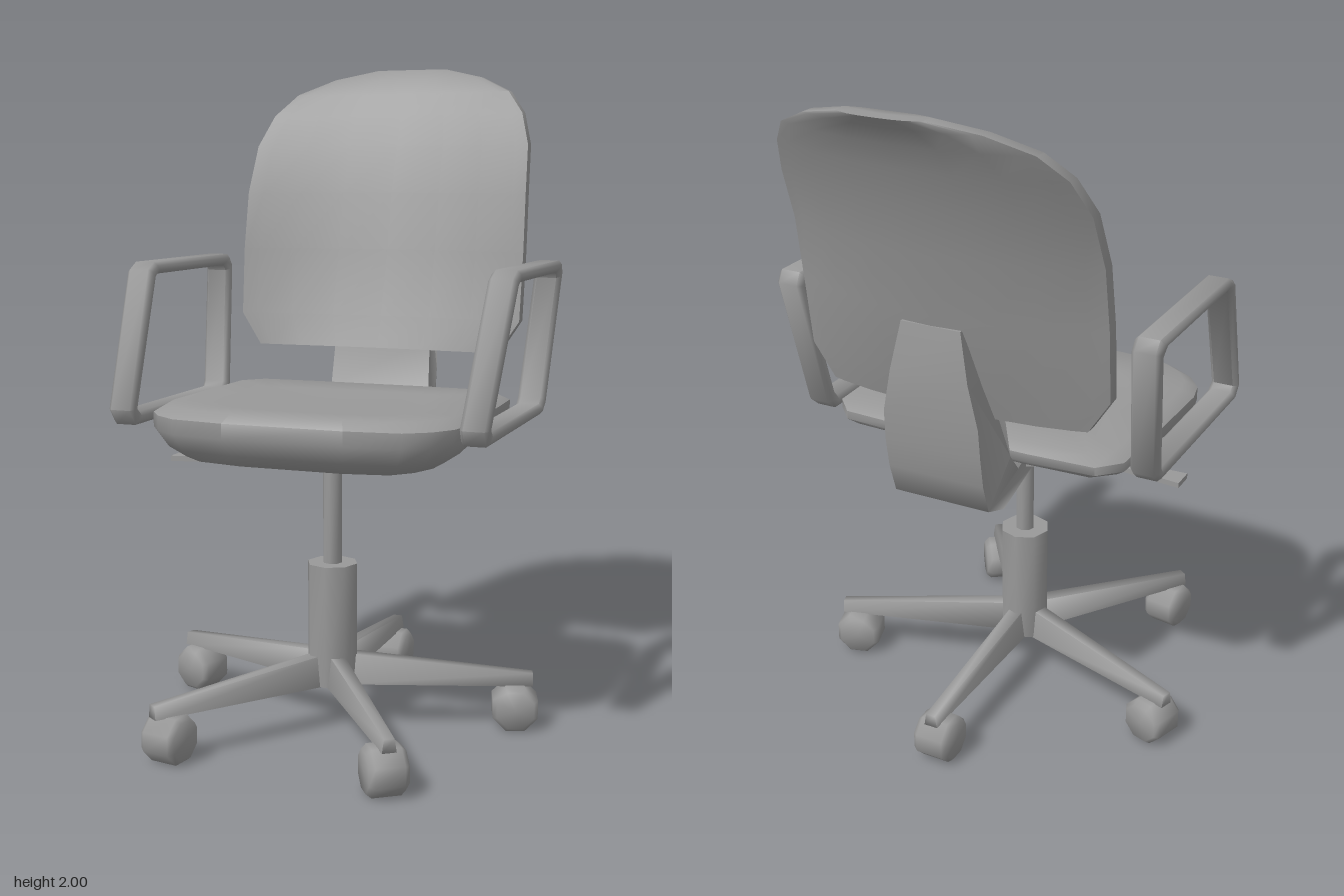
import * as THREE from 'three';
import { toCreasedNormals } from 'three/addons/utils/BufferGeometryUtils.js';

const rad = THREE.MathUtils.degToRad;
const { lerp, smoothstep } = THREE.MathUtils;
const TURN = rad(-49); // the seat is swivelled to face -x, +z
const material = new THREE.MeshStandardMaterial({ color: 0x999999 });

function addMesh(parent, name, geometry, crease = 0.75) {
  const mesh = new THREE.Mesh(toCreasedNormals(geometry, crease), material);
  mesh.name = name;
  parent.add(mesh);
  return mesh;
}

// Move every vertex of a geometry by a rule
function warp(geometry, rule) {
  const p = geometry.attributes.position;
  const v = new THREE.Vector3();
  for (let i = 0; i < p.count; i++) {
    rule(v.fromBufferAttribute(p, i));
    p.setXYZ(i, v.x, v.y, v.z);
  }
  return geometry;
}

// Closed skin over rings that run anticlockwise seen from above, bottom ring first
function loft(rings) {
  const n = rings[0].length;
  const mid = (r) => [0, 1, 2].map((k) => r.reduce((s, p) => s + p[k], 0) / n);
  const verts = [...rings.flat(), mid(rings[0]), mid(rings[rings.length - 1])];
  const index = [];
  const top = (rings.length - 1) * n;
  for (let j = 0; j < n; j++) {
    const k = (j + 1) % n;
    for (let i = 0; i < rings.length - 1; i++) {
      const a = i * n + j, b = i * n + k;
      index.push(a, b, b + n, a, b + n, a + n);
    }
    index.push(verts.length - 2, k, j, verts.length - 1, top + j, top + k);
  }
  const g = new THREE.BufferGeometry();
  g.setAttribute('position', new THREE.Float32BufferAttribute(verts.flat(), 3));
  g.setIndex(index);
  return g;
}

// Side profile of [z, y] points, extruded across x; a hole runs the opposite way round
function sideExtrude(points, width, bevel = 0, hole) {
  const vec = (list) => list.map(([z, y]) => new THREE.Vector2(z, y));
  const shape = new THREE.Shape(vec(points));
  if (hole) shape.holes.push(new THREE.Path(vec(hole)));
  const depth = width - 2 * bevel;
  const g = new THREE.ExtrudeGeometry(shape, {
    depth, bevelEnabled: bevel > 0, bevelThickness: bevel, bevelSize: bevel, bevelOffset: -bevel, bevelSegments: 1,
  });
  return g.translate(0, 0, -depth / 2).rotateY(-Math.PI / 2);
}

function makeSeat() {
  const half = [[0.18, 0.39], [0.34, 0.37], [0.41, 0.325], [0.455, 0.265], [0.472, 0.19],
    [0.468, -0.06], [0.46, -0.31], [0.4, -0.375], [0.2, -0.385]];
  const outline = [...half, ...half.map(([x, z]) => [-x, z]).reverse()];
  // scale, height at the front, height at the rear
  const levels = [[0.5, 0.838, 0.875], [0.84, 0.845, 0.915], [0.94, 0.88, 0.935],
    [1, 0.93, 0.955], [1, 0.975, 0.98], [0.92, 1, 1], [0.6, 0.995, 0.995]];
  return loft(levels.map(([s, front, rear]) => outline.map(([x, z]) =>
    [x * s, lerp(rear, front, (z + 0.385) / 0.78), z * s])));
}

function makeBackrest() {
  // height, half width, setback, hollow in the middle
  const rows = [[1.11, 0.4, 0.405, 0.03], [1.21, 0.465, 0.41, 0.06], [1.42, 0.468, 0.435, 0.095],
    [1.6, 0.465, 0.465, 0.105], [1.75, 0.455, 0.525, 0.095], [1.85, 0.42, 0.585, 0.075],
    [1.92, 0.36, 0.645, 0.05], [1.97, 0.25, 0.705, 0.025], [2, 0.12, 0.755, 0.006]];
  const us = [-1, -0.9, -0.65, -0.35, 0, 0.35, 0.65, 0.9, 1];
  return loft(rows.map(([y, w, back, hollow]) => {
    const side = (sign) => us.map((u) => {
      const thick = 0.02 + 0.016 * (1 - u ** 4);
      return [u * w, y, -(back + hollow * (1 - u * u)) + sign * thick];
    });
    return [...side(1), ...side(-1).reverse()];
  }));
}

// Tapered beam along +x, used for the legs
function makeLeg() {
  const g = new THREE.BoxGeometry(0.585, 1, 1).translate(0.3125, 0.5, 0);
  return warp(g, (v) => {
    const t = (v.x - 0.02) / 0.585;
    const upper = v.y > 0.5;
    v.z *= lerp(0.065, 0.042, t) * (upper ? 0.7 : 1);
    v.y = upper ? lerp(0.23, 0.172, t) : 0.133;
  });
}

// Short eight-sided wheel, axle along z
function makeCaster() {
  const profile = [[0, -0.057], [0.06, -0.057], [0.073, -0.042], [0.073, 0.042], [0.06, 0.057], [0, 0.057]];
  const g = new THREE.LatheGeometry(profile.map(([r, y]) => new THREE.Vector2(r, y)), 8);
  return g.rotateX(Math.PI / 2).rotateZ(Math.PI / 8);
}

export function createModel() {
  const model = new THREE.Group();
  model.name = 'officeChair';
  const chair = new THREE.Group();
  chair.name = 'swivelChair';
  chair.position.set(-0.055, 0, 0.03);
  model.add(chair);

  // Five-legged base with casters
  const base = new THREE.Group();
  base.name = 'base';
  chair.add(base);
  for (let i = 0; i < 5; i++) {
    const spoke = new THREE.Group();
    spoke.name = 'spoke';
    spoke.rotation.y = -rad(31.5 + 72 * i);
    base.add(spoke);
    addMesh(spoke, 'leg', makeLeg(), 1.65);
    const caster = addMesh(spoke, 'caster', makeCaster(), 1);
    caster.position.set(0.552, 0.068, 0);
    caster.rotation.y = i === 2 ? rad(27) : 0;
  }
  addMesh(base, 'columnSleeve', new THREE.CylinderGeometry(0.077, 0.077, 0.37, 8).translate(0, 0.32, 0), 1);
  addMesh(base, 'gasColumn', new THREE.CylinderGeometry(0.029, 0.029, 0.4, 8).translate(0, 0.68, 0), 1);

  // Everything that swivels
  const upper = new THREE.Group();
  upper.name = 'upperChair';
  upper.rotation.y = TURN;
  chair.add(upper);
  addMesh(upper, 'seat', makeSeat(), 0.9);
  addMesh(upper, 'backrest', makeBackrest(), 1);

  // Spine from the column up into the backrest, fading out as it rises
  const spine = sideExtrude([[0.06, 0.84], [-0.2, 0.838], [-0.46, 0.835], [-0.52, 0.85], [-0.55, 0.94],
    [-0.565, 1.03], [-0.572, 1.12], [-0.577, 1.25], [-0.56, 1.39], [-0.51, 1.39], [-0.45, 1.14],
    [-0.42, 0.98], [-0.37, 0.92], [-0.2, 0.91], [0.06, 0.91]], 2);
  addMesh(upper, 'spine', warp(spine, (v) => {
    const narrowFront = smoothstep(-v.z, -0.06, 0.4);
    const narrowTop = smoothstep(v.y, 1.08, 1.42);
    const rounded = v.z < -0.5 ? 0.9 : 1;
    v.x *= (0.06 + 0.105 * narrowFront) * (1 - 0.4 * narrowTop) * rounded;
  }), 1.2);

  // Loop armrests leaning slightly outward, with brackets under the seat
  const outer = [[0.334, 0.985], [0.305, 0.94], [-0.3, 0.94], [-0.335, 0.97], [-0.42, 1.365],
    [-0.397, 1.4], [0.115, 1.4], [0.155, 1.38]];
  const inner = [[0.122, 1.352], [0.1, 1.365], [-0.362, 1.365], [-0.378, 1.348], [-0.298, 0.992],
    [-0.283, 0.975], [0.275, 0.975], [0.292, 0.99]];
  for (const side of [1, -1]) {
    const loop = sideExtrude(outer, 0.082, 0.011, inner);
    addMesh(upper, side > 0 ? 'leftArmrest' : 'rightArmrest', warp(loop, (v) => {
      v.x += side * (0.524 + 0.03 * (v.y - 0.94) / 0.46);
    }), 1.1);
    const bracket = new THREE.BoxGeometry(0.42, 0.02, 1);
    addMesh(upper, side > 0 ? 'leftArmBracket' : 'rightArmBracket', warp(bracket, (v) => {
      const t = 0.5 + side * v.x / 0.42; // 0 under the seat, 1 at the armrest
      v.x += side * 0.325;
      v.y += lerp(0.87, 0.945, t);
      v.z = v.z * lerp(0.26, 0.14, t) - 0.12;
    }));
  }

  // Height lever on the right
  const lever = new THREE.Group();
  lever.name = 'heightLever';
  upper.add(lever);
  const rod = new THREE.LineCurve3(new THREE.Vector3(-0.06, 0.86, 0), new THREE.Vector3(-0.32, 0.8, 0));
  addMesh(lever, 'leverRod', new THREE.TubeGeometry(rod, 1, 0.014, 6), 1);
  const paddle = new THREE.BoxGeometry(0.22, 0.016, 0.07).translate(-0.41, 0.797, 0);
  addMesh(lever, 'leverPaddle', warp(paddle, (v) => {
    if (v.x > -0.4) v.z *= 0.5;
    else v.y -= 0.004;
  }));
  return model;
}
